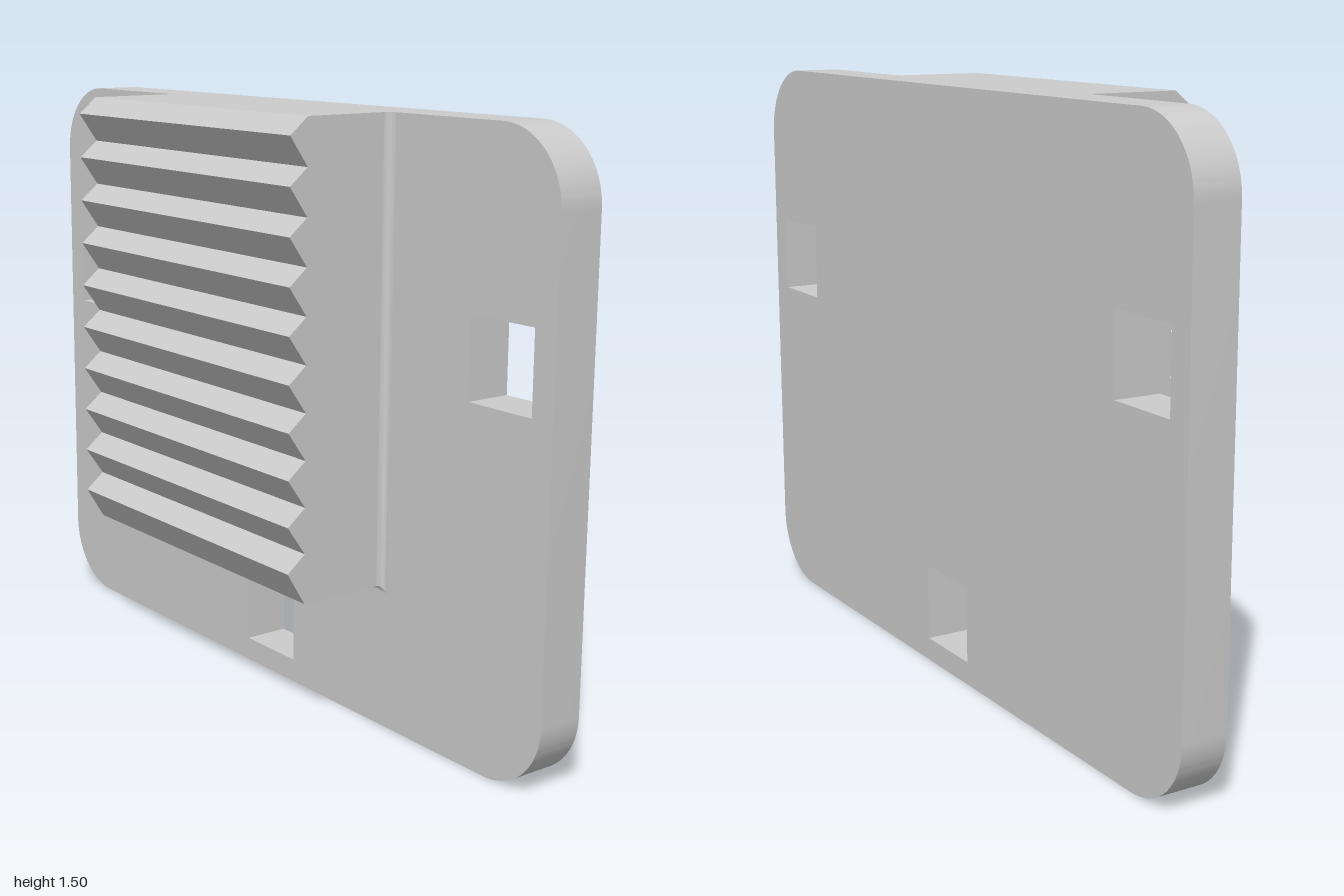
import * as THREE from 'three';
import { toCreasedNormals } from 'three/addons/utils/BufferGeometryUtils.js';

const TOP = 1.505, BACK = -0.205, FACE = -0.085; // plate height, rear and front planes
const HALF = 0.452, BASE = 0.365;                // ribbed block half width and underside
const VALLEY = 0.155, PEAK = 0.205, TEETH = 10, PITCH = 0.113;
const FILLET = 0.02;

// Rounded plate with three square through holes
function plateGeometry() {
  const r = 0.18, s = new THREE.Shape();
  s.moveTo(-1 + r, 0).lineTo(1 - r, 0);
  s.absarc(1 - r, r, r, -Math.PI / 2, 0);
  s.absarc(1 - r, TOP - r, r, 0, Math.PI / 2);
  s.absarc(-1 + r, TOP - r, r, Math.PI / 2, Math.PI);
  s.absarc(-1 + r, r, r, Math.PI, Math.PI * 1.5);
  for (const [x, y] of [[-0.836, 0.975], [0.836, 0.975], [0, 0.16]]) {
    const h = 0.1, hole = new THREE.Path();
    hole.moveTo(x - h, y - h).lineTo(x - h, y + h).lineTo(x + h, y + h).lineTo(x + h, y - h).closePath();
    s.holes.push(hole);
  }
  const g = new THREE.ExtrudeGeometry(s, { depth: FACE - BACK, bevelEnabled: false, curveSegments: 16 });
  g.translate(0, 0, BACK);
  return toCreasedNormals(g, 0.5);
}

// Saw-tooth side profile (z, y), extruded across the width
function blockGeometry() {
  const s = new THREE.Shape();
  s.moveTo(FACE, BASE).lineTo(VALLEY, BASE);
  for (let i = 0; i < TEETH; i++) {
    const peak = TOP - 0.041 - (TEETH - 1 - i) * PITCH;
    s.lineTo(PEAK, peak).lineTo(VALLEY, peak + 0.041);
  }
  s.lineTo(FACE, TOP).closePath();
  const g = new THREE.ExtrudeGeometry(s, { depth: 2 * HALF, bevelEnabled: false });
  g.translate(0, 0, -HALF);
  g.rotateY(-Math.PI / 2);
  return g;
}

// Concave fillet around the sides and underside of the block, mitred at its corners
function filletGeometry() {
  const n = 6, pos = [];
  const ring = (i) => {
    const t = (i / n) * Math.PI / 2;
    const d = FILLET * (1 - Math.sin(t)), z = FACE + FILLET * (1 - Math.cos(t));
    return [[-HALF - d, TOP, z], [-HALF - d, BASE - d, z], [HALF + d, BASE - d, z], [HALF + d, TOP, z]];
  };
  for (let i = 0; i < n; i++) {
    const a = ring(i), b = ring(i + 1);
    for (let k = 0; k < 3; k++) {
      pos.push(...a[k], ...a[k + 1], ...b[k + 1], ...a[k], ...b[k + 1], ...b[k]);
    }
    // Caps flush with the top edge
    pos.push(-HALF, TOP, FACE, ...a[0], ...b[0]);
    pos.push(HALF, TOP, FACE, ...b[3], ...a[3]);
  }
  const g = new THREE.BufferGeometry();
  g.setAttribute('position', new THREE.Float32BufferAttribute(pos, 3));
  return toCreasedNormals(g, 0.5);
}

export function createModel() {
  const model = new THREE.Group();
  model.name = 'ribbedMountingPlate';
  const material = new THREE.MeshStandardMaterial({ color: 0xcccccc });
  const filletMaterial = new THREE.MeshStandardMaterial({ color: 0xcccccc, side: THREE.DoubleSide });
  const add = (name, geometry, mat = material) => {
    const mesh = new THREE.Mesh(geometry, mat);
    mesh.name = name;
    model.add(mesh);
  };
  add('plate', plateGeometry());
  add('ribbedBlock', blockGeometry());
  add('blockFillet', filletGeometry(), filletMaterial);
  return model;
}
